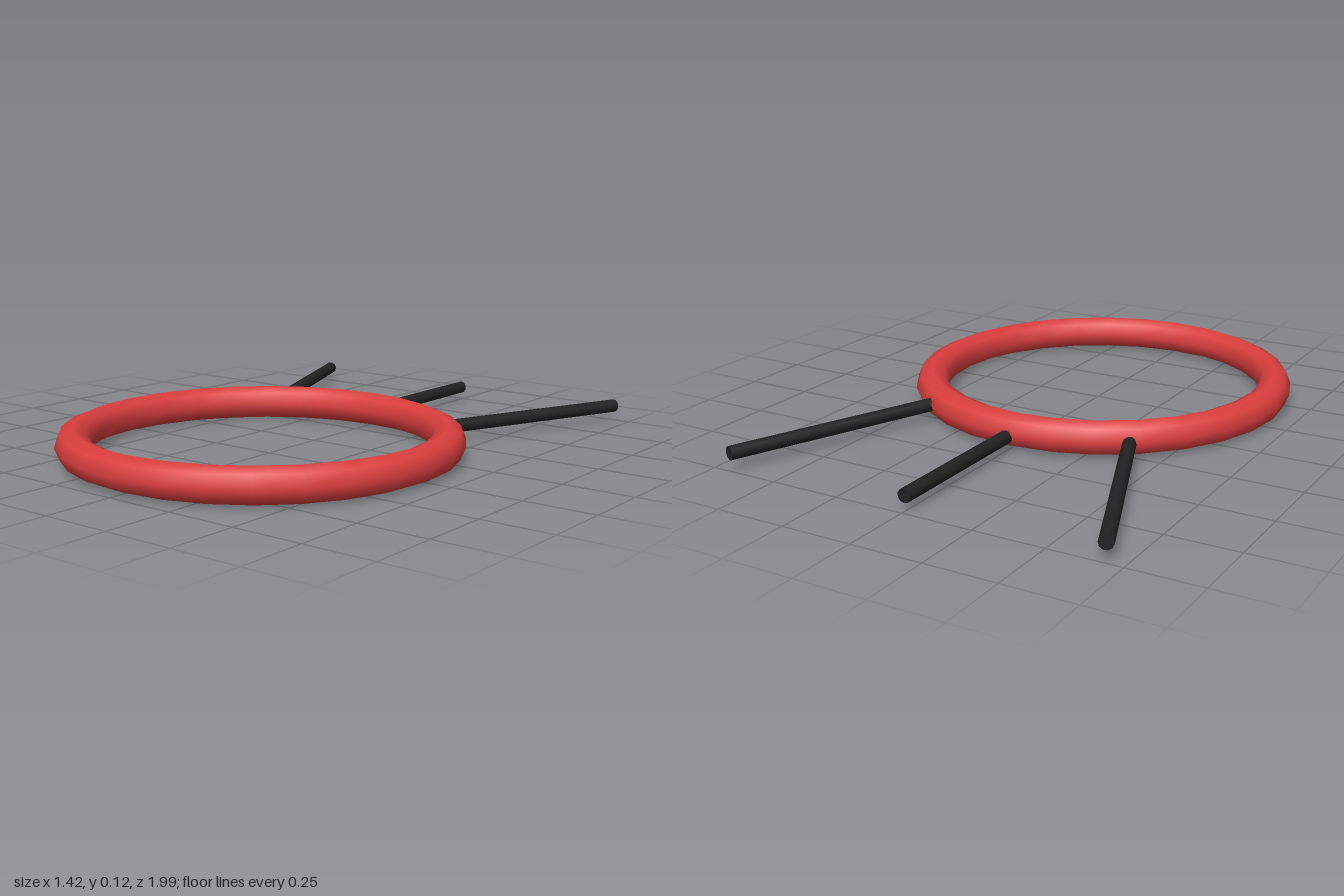
import * as THREE from 'three';

export function createModel() {
  const group = new THREE.Group();
  const red = new THREE.MeshStandardMaterial({ name: 'red', color: 0xdc3e3e });
  const black = new THREE.MeshStandardMaterial({ name: 'black', color: 0x222222 });

  // Ring lying flat, towards the front
  const ring = new THREE.Mesh(new THREE.TorusGeometry(0.641, 0.061, 8, 28), red);
  ring.name = 'ring';
  ring.rotation.x = -Math.PI / 2;
  ring.position.set(0, 0.061, 0.29);
  group.add(ring);

  // Straight rod between two points
  function addRod(name, start, end) {
    const a = new THREE.Vector3(...start);
    const b = new THREE.Vector3(...end);
    const dir = b.clone().sub(a);
    const rod = new THREE.Mesh(new THREE.CylinderGeometry(0.024, 0.024, dir.length(), 10), black);
    rod.name = name;
    rod.position.copy(a).add(b).multiplyScalar(0.5);
    rod.quaternion.setFromUnitVectors(new THREE.Vector3(0, 1, 0), dir.normalize());
    group.add(rod);
  }

  // Three rods fanning out behind the ring
  addRod('middleRod', [0, 0.051, -0.4], [0, 0.051, -0.985]);
  for (const side of [1, -1]) {
    addRod(side > 0 ? 'leftRod' : 'rightRod', [side * 0.397, 0.058, -0.272], [side * 0.69, 0.058, -0.991]);
  }
  return group;
}
